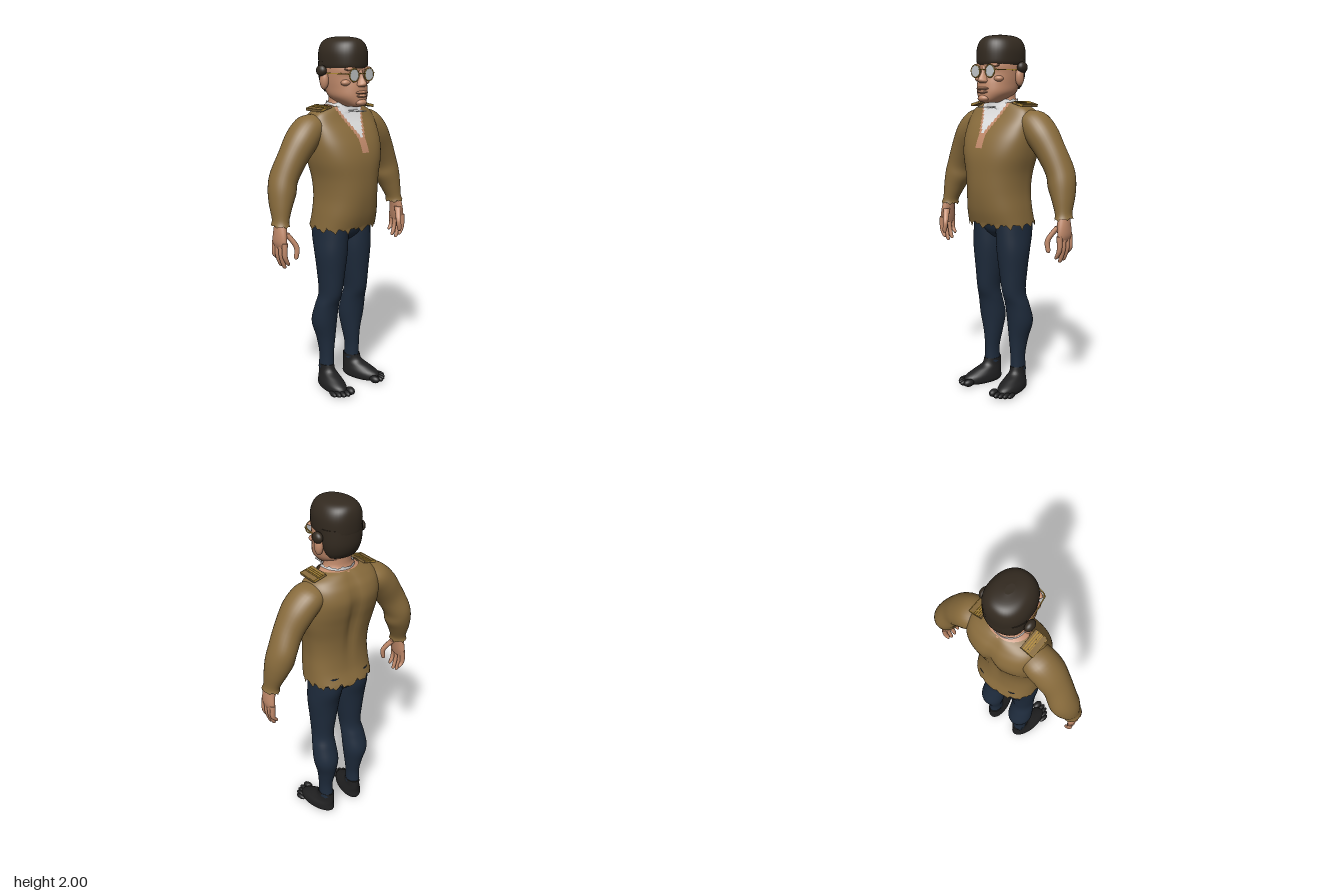
import * as THREE from 'three';

const mat = (name, color, double) => {
  const m = new THREE.MeshStandardMaterial({ color });
  m.name = name;
  if (double) m.side = THREE.DoubleSide;
  return m;
};

// Catmull-Rom interpolation through cross-section rows
// row: [x, y, z, half width, front depth, back depth, tilt, squareness]
function section(rows, t) {
  const last = rows.length - 1;
  const i = Math.min(Math.floor(t), last - 1), u = t - i;
  const r = k => rows[Math.max(0, Math.min(last, k))];
  return Array.from({ length: 8 }, (_, k) => {
    const d = k === 7 ? 2 : 0;
    const [a, b, c, e] = [r(i - 1)[k] ?? d, r(i)[k] ?? d, r(i + 1)[k] ?? d, r(i + 2)[k] ?? d];
    return b + 0.5 * u * (c - a + u * (2 * a - 5 * b + 4 * c - e + u * (3 * (b - c) + e - a)));
  });
}

// Skin a stack of rounded rings, listed from bottom to top
function loft(rows, { seg = 32, sub = 5, caps = true, jag = 0, jagTop = 0, warp } = {}) {
  const pos = [], idx = [], n = (rows.length - 1) * sub;
  const pow = (v, e) => Math.sign(v) * Math.pow(Math.abs(v), 2 / e);
  const tear = j => 0.5 * Math.sin(j * 2.4) + 0.5 * Math.sin(j * 5.1 + 1);
  for (let i = 0; i <= n; i++) {
    const [x, y, z, a, f, b, tilt, e] = section(rows, i / sub);
    for (let j = 0; j < seg; j++) {
      const th = (j / seg) * Math.PI * 2, s = Math.sin(th), w = a * pow(Math.cos(th), e);
      const p = [x + w * Math.cos(tilt), y + w * Math.sin(tilt), z + (s > 0 ? f : b) * pow(s, e)];
      if (i === 0) p[1] += jag * tear(j);
      if (i === n) p[1] += jagTop * tear(j);
      if (warp) warp(p, s);
      pos.push(...p);
    }
  }
  for (let i = 0; i < n; i++) for (let j = 0; j < seg; j++) {
    const k = (j + 1) % seg, a = i * seg + j, b = i * seg + k;
    idx.push(a, a + seg, b, b, a + seg, b + seg);
  }
  if (caps) for (const i of [0, n]) {
    const base = pos.length / 3, c = section(rows, i / sub);
    pos.push(...pos.slice(i * seg * 3, (i + 1) * seg * 3), c[0], c[1], c[2]);
    for (let j = 0; j < seg; j++) {
      const k = (j + 1) % seg;
      idx.push(base + seg, base + (i ? k : j), base + (i ? j : k));
    }
  }
  const g = new THREE.BufferGeometry();
  g.setAttribute('position', new THREE.Float32BufferAttribute(pos, 3));
  g.setIndex(idx);
  g.computeVertexNormals();
  return g;
}

const ball = (x, y, z, a, b, c) => new THREE.SphereGeometry(1, 20, 14).scale(a, b, c).translate(x, y, z);
const box = (x, y, z, a, b, c) => new THREE.BoxGeometry(a, b, c).translate(x, y, z);

function mirrored(geo) {
  const g = geo.clone().applyMatrix4(new THREE.Matrix4().makeScale(-1, 1, 1));
  const ix = g.index.array;
  for (let i = 0; i < ix.length; i += 3) [ix[i], ix[i + 1]] = [ix[i + 1], ix[i]];
  return g;
}

export function createModel() {
  const root = new THREE.Group();
  root.name = 'standingMan';
  const shirt = mat('shirt tan', 0x886b3c, true), trousers = mat('trouser navy', 0x1e2b3c);
  const skin = mat('skin', 0xc18a6b, true), hair = mat('hair brown', 0x332a20);
  const foot = mat('foot black', 0x202021), white = mat('undershirt white', 0xdcdcdc, true);
  const gold = mat('gold', 0xb08a34), lens = mat('lens grey', 0xc6cacc);
  const add = (name, geo, m) => {
    const mesh = new THREE.Mesh(geo, m);
    mesh.name = name;
    root.add(mesh);
  };
  const pair = (name, geo, m) => {
    add(name + 'Left', geo, m);
    add(name + 'Right', mirrored(geo), m);
  };

  // Shirt body with torn hem and spine groove
  const torso = [
    [0, 0.97, -0.015, 0.193, 0.155, 0.157, 0, 2.4], [0, 1.05, -0.015, 0.187, 0.178, 0.13, 0, 2.4],
    [0, 1.15, -0.015, 0.181, 0.192, 0.122, 0, 2.3], [0, 1.25, -0.015, 0.19, 0.194, 0.13, 0, 2.3],
    [0, 1.35, -0.015, 0.214, 0.188, 0.15, 0, 2.4], [0, 1.43, -0.015, 0.224, 0.165, 0.17, 0, 2.5],
    [0, 1.5, -0.015, 0.222, 0.128, 0.178, 0, 2.6], [0, 1.56, -0.015, 0.215, 0.085, 0.162, 0, 2.6],
    [0, 1.6, -0.015, 0.195, 0.062, 0.135, 0, 2.5], [0, 1.625, -0.015, 0.15, 0.052, 0.115, 0, 2.3],
    [0, 1.638, -0.015, 0.118, 0.05, 0.1, 0, 2]];
  const groove = (p, s) => {
    if (s < 0) p[2] += 0.024 * Math.exp(-((p[0] / 0.03) ** 2)) * Math.exp(-(((p[1] - 1.38) / 0.2) ** 2));
  };
  add('shirtBody', loft(torso, { seg: 72, sub: 6, caps: false, jag: 0.024, warp: groove }), shirt);

  // Stepped neck opening, laid over the chest row by row
  const chestZ = (x, y) => {
    let lo = 0, hi = torso.length - 1;
    for (let i = 0; i < 30; i++) {
      const mid = (lo + hi) / 2;
      if (section(torso, mid)[1] < y) lo = mid; else hi = mid;
    }
    const s = section(torso, lo);
    return s[2] + s[4] * Math.pow(Math.max(0, 1 - Math.pow(Math.abs(x / s[3]), s[7])), 1 / s[7]);
  };
  const patch = (name, y, w, lift, m) => {
    const g = new THREE.PlaneGeometry(2 * w, 0.02, 10, 3).translate(0, y, 0), p = g.attributes.position;
    for (let i = 0; i < p.count; i++) p.setZ(i, chestZ(p.getX(i), p.getY(i)) + lift);
    g.computeVertexNormals();
    add(name, g, m);
  };
  for (let i = 0; i < 12; i++) {
    const y = 1.405 + i * 0.02;
    patch('neckOpening', y, i < 4 ? 0.024 : 0.03 + (i - 4) * 0.0095, 0.005, skin);
    if (i > 3) patch('undershirtFront', y, 0.01 + (i - 4) * 0.0105, 0.009, white);
  }

  // Sleeves with torn cuffs
  pair('sleeve', loft([
    [0.443, 1.035, -0.025, 0.046, 0.056, 0.057, 0.1], [0.438, 1.065, -0.028, 0.042, 0.05, 0.054, 0.12],
    [0.422, 1.14, -0.045, 0.059, 0.068, 0.07, 0.2], [0.402, 1.21, -0.055, 0.074, 0.078, 0.084, 0.3],
    [0.382, 1.28, -0.06, 0.073, 0.08, 0.088, 0.45], [0.333, 1.375, -0.05, 0.079, 0.08, 0.085, 0.65],
    [0.27, 1.465, -0.045, 0.086, 0.09, 0.1, 0.75], [0.2, 1.53, -0.045, 0.08, 0.085, 0.1, 0.85],
    [0.13, 1.56, -0.04, 0.05, 0.06, 0.07, 0.9]], { caps: false, jag: 0.009 }), shirt);

  // Hands
  pair('palm', loft([
    [0.455, 0.915, -0.015, 0.014, 0.042, 0.046], [0.457, 0.95, -0.015, 0.023, 0.05, 0.055],
    [0.453, 1.0, -0.015, 0.027, 0.045, 0.05], [0.443, 1.07, -0.022, 0.03, 0.034, 0.034]]), skin);
  [[0.028, 0.825], [-0.002, 0.803], [-0.032, 0.81], [-0.058, 0.84]].forEach(([z, tip]) =>
    pair('finger', loft([
      [0.436, tip, z, 0.004, 0.004, 0.004], [0.442, tip + 0.012, z, 0.011, 0.011, 0.011],
      [0.46, 0.88, z, 0.014, 0.014, 0.014], [0.458, 0.95, z, 0.015, 0.016, 0.016]], { seg: 12 }), skin));
  pair('thumb', loft([
    [0.41, 0.86, 0.056, 0.004, 0.004, 0.004], [0.406, 0.872, 0.056, 0.012, 0.012, 0.012],
    [0.402, 0.93, 0.052, 0.015, 0.016, 0.016], [0.438, 1.0, 0.01, 0.018, 0.022, 0.022]], { seg: 14 }), skin);

  // Legs and hips
  pair('trouserLeg', loft([
    [0.103, 0.11, -0.045, 0.041, 0.05, 0.051], [0.103, 0.2, -0.042, 0.039, 0.047, 0.048],
    [0.102, 0.3, -0.05, 0.053, 0.06, 0.06], [0.108, 0.4, -0.055, 0.073, 0.075, 0.075],
    [0.106, 0.5, -0.033, 0.07, 0.068, 0.07], [0.1, 0.58, -0.012, 0.062, 0.074, 0.072],
    [0.095, 0.7, -0.01, 0.075, 0.085, 0.085], [0.092, 0.82, -0.013, 0.089, 0.1, 0.1],
    [0.088, 0.92, -0.02, 0.089, 0.112, 0.122], [0.085, 1.02, -0.02, 0.085, 0.115, 0.125]],
  { jag: 0.006 }), trousers);
  add('hips', loft([
    [0, 0.89, -0.02, 0.04, 0.06, 0.07], [0, 0.93, -0.02, 0.13, 0.1, 0.11],
    [0, 1.0, -0.02, 0.168, 0.12, 0.13], [0, 1.05, -0.02, 0.165, 0.12, 0.12]]), trousers);

  // Bare dark feet with toes, turned outward
  const turn = g => g.rotateY(0.2).translate(0.112, 0, 0);
  pair('foot', turn(loft([
    [0, 0, 0.02, 0.052, 0.115, 0.115], [0.002, 0.015, 0.02, 0.062, 0.13, 0.124],
    [0.002, 0.045, 0.015, 0.06, 0.125, 0.115], [0, 0.075, -0.01, 0.048, 0.09, 0.092],
    [0, 0.1, -0.035, 0.041, 0.058, 0.067], [0, 0.135, -0.045, 0.041, 0.053, 0.056]])), foot);
  [[-0.042, 0.15, 0.022], [-0.012, 0.156, 0.016], [0.013, 0.15, 0.015], [0.036, 0.138, 0.015], [0.057, 0.12, 0.014]]
    .forEach(([x, z, r]) => pair('toe', turn(ball(x, r + 0.002, z, r, r, 0.033)), foot));

  // Neck, undershirt collar
  add('neck', loft([
    [0, 1.59, -0.025, 0.13, 0.045, 0.1], [0, 1.63, -0.025, 0.118, 0.055, 0.095],
    [0, 1.655, -0.02, 0.08, 0.06, 0.07], [0, 1.74, -0.02, 0.076, 0.07, 0.07]]), skin);
  add('undershirtCollar', loft([
    [0, 1.605, -0.02, 0.1, 0.085, 0.088], [0, 1.63, -0.02, 0.094, 0.08, 0.085],
    [0, 1.655, -0.02, 0.088, 0.078, 0.085]], { seg: 40, caps: false, jag: 0.01, jagTop: 0.008 }), white);
  add('collarTab', box(0, 1.614, 0.095, 0.05, 0.004, 0.1), white);

  // Head and face
  add('head', loft([
    [0, 1.637, 0.06, 0.035, 0.06, 0.04], [0, 1.65, 0.05, 0.06, 0.088, 0.07],
    [0, 1.69, 0.02, 0.096, 0.118, 0.1, 0, 2.2], [0, 1.74, 0, 0.107, 0.133, 0.1, 0, 2.2],
    [0, 1.79, 0, 0.112, 0.121, 0.12, 0, 2.2], [0, 1.84, 0, 0.112, 0.126, 0.125, 0, 2.2],
    [0, 1.9, 0, 0.1, 0.11, 0.11]], { seg: 40 }), skin);
  add('nose', loft([
    [0, 1.742, 0.125, 0.022, 0.02, 0.02], [0, 1.752, 0.125, 0.029, 0.036, 0.02],
    [0, 1.766, 0.12, 0.024, 0.041, 0.02], [0, 1.79, 0.115, 0.015, 0.03, 0.02],
    [0, 1.83, 0.11, 0.015, 0.02, 0.02]], { seg: 16 }), skin);
  add('upperLip', ball(0, 1.713, 0.135, 0.042, 0.009, 0.021), skin);
  add('lowerLip', ball(0, 1.695, 0.133, 0.036, 0.009, 0.02), skin);
  add('chin', ball(0, 1.66, 0.125, 0.036, 0.02, 0.03), skin);
  pair('brow', ball(0.05, 1.836, 0.105, 0.046, 0.011, 0.022), skin);
  pair('cheek', ball(0.07, 1.765, 0.085, 0.03, 0.018, 0.025), skin);
  pair('ear', ball(0.122, 1.775, -0.028, 0.022, 0.05, 0.027).rotateZ(0), skin);
  pair('earHair', ball(0.134, 1.825, -0.036, 0.023, 0.03, 0.034), hair);

  // Close-fitting hair: crown and nape
  add('hairCrown', loft([
    [0, 1.838, -0.015, 0.113, 0.142, 0.128, 0, 2.2], [0, 1.86, -0.015, 0.119, 0.147, 0.131, 0, 2.2],
    [0, 1.92, -0.015, 0.119, 0.145, 0.132, 0, 2.2], [0, 1.965, -0.015, 0.102, 0.13, 0.12, 0, 2.2],
    [0, 1.99, -0.015, 0.072, 0.1, 0.09], [0, 2.0, -0.015, 0.02, 0.03, 0.03]], { seg: 40 }), hair);
  add('hairNape', loft([
    [0, 1.71, -0.06, 0.08, 0.03, 0.045], [0, 1.74, -0.055, 0.1, 0.045, 0.072],
    [0, 1.79, -0.05, 0.114, 0.06, 0.093], [0, 1.87, -0.045, 0.119, 0.085, 0.1]]), hair);

  // Spectacles
  pair('lens', new THREE.CylinderGeometry(0.032, 0.032, 0.004, 28).rotateX(Math.PI / 2).translate(0.055, 1.805, 0.132), lens);
  pair('lensRim', new THREE.TorusGeometry(0.033, 0.0035, 8, 32).translate(0.055, 1.805, 0.132), gold);
  pair('templeArm', box(0, 0, 0, 0.005, 0.006, 0.165).rotateY(-0.17).translate(0.108, 1.812, 0.05), gold);
  add('bridge', box(0, 1.812, 0.138, 0.046, 0.005, 0.005), gold);

  // Shoulder boards with gold trim
  const slope = g => g.rotateZ(-0.24).translate(0.16, 1.63, -0.03);
  pair('shoulderBoard', slope(box(0, 0, 0, 0.078, 0.012, 0.12)), shirt);
  for (const x of [-0.024, -0.013, -0.002, 0.007, 0.037])
    pair('boardStripe', slope(box(x, 0.004, 0, x > 0 ? 0.003 : 0.006, 0.009, 0.121)), gold);
  for (const z of [-0.059, 0.059]) pair('boardEdge', slope(box(0.022, 0.004, z, 0.03, 0.009, 0.003)), gold);
  return root;
}
